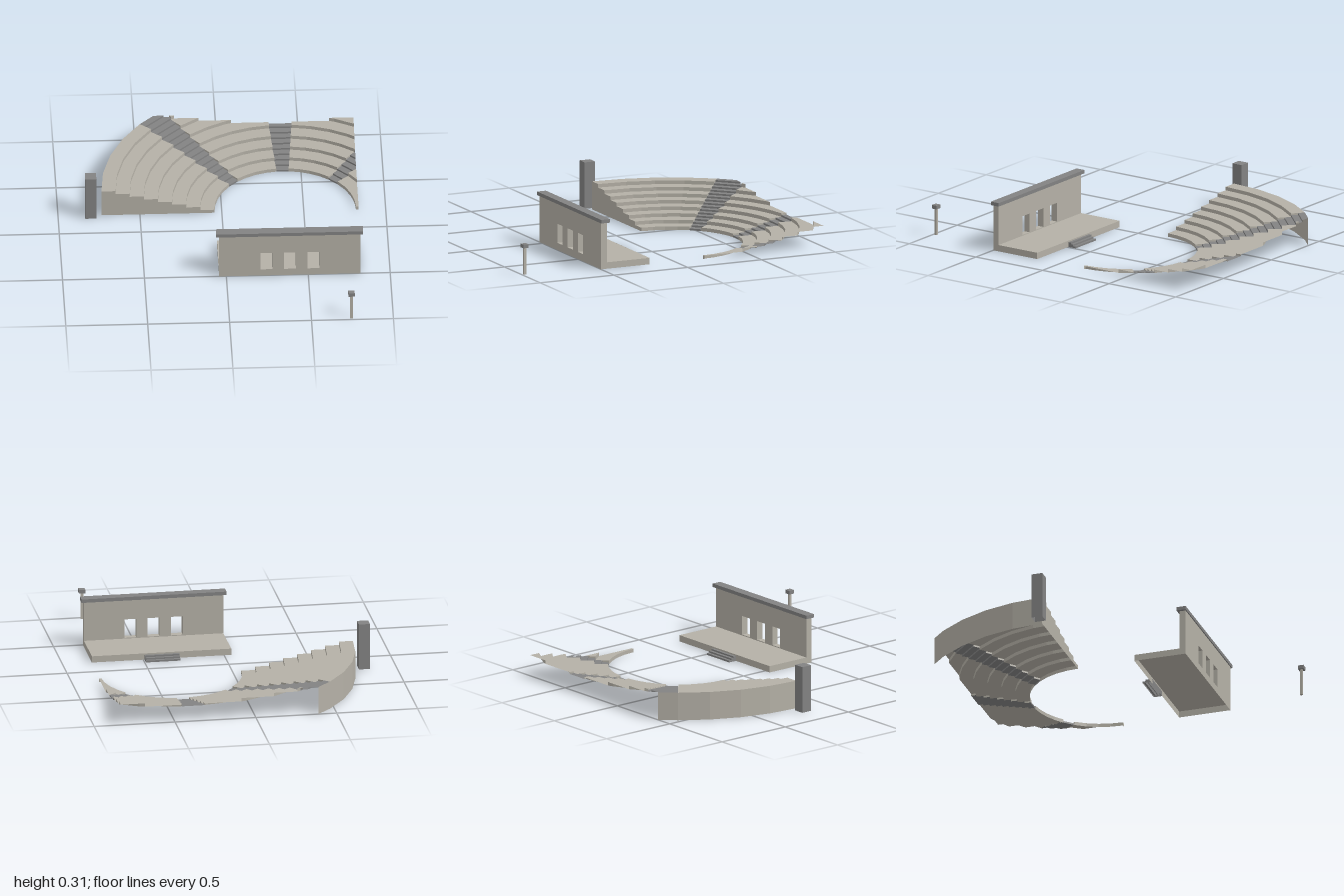
import * as THREE from 'three';

const stone = new THREE.MeshStandardMaterial({ color: 0xb4b0a6, side: THREE.DoubleSide });
stone.name = 'paleStone';
const dark = new THREE.MeshStandardMaterial({ color: 0x828282, side: THREE.DoubleSide });
dark.name = 'darkStone';

// Seating layout: concentric tiers round a centre, trimmed by a rectangular plot
const CX = 0.387, CZ = -0.192, R0 = 0.432, R1 = 1.122, TIERS = 8, TOP = 0.175;
const MAX_X = 0.835, MIN_Z = -1;
const DEPTH = (R1 - R0) / TIERS, RISE = TOP / TIERS;
const rad = THREE.MathUtils.degToRad;

const P = (r, a, y) => new THREE.Vector3(CX - r * Math.cos(a), y, CZ - r * Math.sin(a));

// Cut a convex polygon, keeping the side where dist >= 0
function cut(poly, dist) {
  const out = [];
  poly.forEach((p, i) => {
    const q = poly[(i + 1) % poly.length], dp = dist(p), dq = dist(q);
    if (dp >= 0) out.push(p);
    if (dp * dq < 0) out.push(p.clone().lerp(q, dp / (dp - dq)));
  });
  return out;
}

// Gathers trimmed polygons into one flat-faced mesh
class Faces {
  constructor() { this.points = []; }
  add(...poly) {
    const p = cut(cut(poly, v => MAX_X - v.x), v => v.z - MIN_Z);
    for (let i = 1; i < p.length - 1; i++) this.points.push(p[0], p[i], p[i + 1]);
  }
  tread(r0, r1, a0, a1, y) { this.add(P(r0, a0, y), P(r0, a1, y), P(r1, a1, y), P(r1, a0, y)); }
  riser(r, a0, a1, y0, y1) { this.add(P(r, a0, y0), P(r, a1, y0), P(r, a1, y1), P(r, a0, y1)); }
  radial(ra, rb, a, y0, y1) { this.add(P(ra, a, y0), P(rb, a, y0), P(rb, a, y1), P(ra, a, y1)); }
  mesh(name, material) {
    const g = new THREE.BufferGeometry().setFromPoints(this.points);
    g.computeVertexNormals();
    const m = new THREE.Mesh(g, material);
    m.name = name;
    return m;
  }
}

function seating() {
  const group = new THREE.Group();
  group.name = 'seating';
  const seats = new Faces(), stairs = new Faces(), walls = new Faces();

  // Seat tiers between the aisles
  for (const [from, to] of [[0, 40], [50, 85], [95, 130], [140, 180]]) {
    const n = 4;
    for (let s = 0; s < n; s++) {
      const a0 = rad(from + (to - from) * s / n), a1 = rad(from + (to - from) * (s + 1) / n);
      for (let t = 0; t < TIERS; t++) {
        const r = R0 + t * DEPTH;
        seats.riser(r, a0, a1, t * RISE, (t + 1) * RISE);
        seats.tread(r, r + DEPTH, a0, a1, (t + 1) * RISE);
      }
      walls.riser(R1, a1, a0, 0, TOP);
    }
  }

  // Aisle stairs: two half-height steps to each tier
  for (const mid of [45, 90, 135]) {
    const a0 = rad(mid - 5), a1 = rad(mid + 5);
    for (let s = 0; s < TIERS * 2; s++) {
      const r = R0 + s * DEPTH / 2, y = (s + 1) * RISE / 2;
      stairs.riser(r, a0, a1, y - RISE / 2, y);
      stairs.tread(r, r + DEPTH / 2, a0, a1, y);
      if (s % 2 === 0) {
        seats.radial(r, r + DEPTH / 2, a0, y, y + RISE / 2);
        seats.radial(r + DEPTH / 2, r, a1, y, y + RISE / 2);
      }
    }
    walls.riser(R1, a1, a0, 0, TOP);
  }

  // Stepped end walls
  for (let t = 0; t < TIERS; t++) {
    const r = R0 + t * DEPTH, y = (t + 1) * RISE;
    walls.radial(r + DEPTH, r, 0, 0, y);
    walls.radial(r, r + DEPTH, Math.PI, 0, y);
  }

  group.add(seats.mesh('seatTiers', stone), stairs.mesh('aisleStairs', dark), walls.mesh('retainingWalls', stone));
  return group;
}

// Box given by its limits, optionally without a bottom face
function box(name, material, [x0, x1], [y0, y1], [z0, z1], open = false) {
  const g = new THREE.BoxGeometry(x1 - x0, y1 - y0, z1 - z0);
  if (open) {
    const index = Array.from(g.index.array);
    index.splice(18, 6);
    g.setIndex(index);
    g.clearGroups();
  }
  g.translate((x0 + x1) / 2, (y0 + y1) / 2, (z0 + z1) / 2);
  const m = new THREE.Mesh(g, material);
  m.name = name;
  return m;
}

function rect(Type, x0, x1, y0, y1) {
  return new Type([[x0, y0], [x1, y0], [x1, y1], [x0, y1]].map(p => new THREE.Vector2(...p)));
}

function stage() {
  const group = new THREE.Group();
  group.name = 'stage';
  const x = [-0.044, 0.818], deckTop = 0.04;
  group.add(box('deck', stone, x, [0, deckTop], [0.17, 0.5], true));

  // Scene wall with three openings
  const outline = rect(THREE.Shape, x[0], x[1], deckTop, 0.29);
  for (const c of [0.244, 0.388, 0.531]) {
    outline.holes.push(rect(THREE.Path, c - 0.037, c + 0.037, 0.045, 0.164));
  }
  const wall = new THREE.Mesh(new THREE.ExtrudeGeometry(outline, { depth: 0.04, bevelEnabled: false }), stone);
  wall.position.z = 0.46;
  wall.name = 'sceneWall';
  group.add(wall, box('wallCoping', dark, [-0.062, 0.835], [0.29, 0.312], [0.447, 0.506]));

  // Steps down to the orchestra
  for (let i = 0; i < 3; i++) {
    const z = 0.17 - i * 0.018;
    group.add(box('stageStep', dark, [0.278, 0.492], [0, 0.031 - i * 0.01], [z - 0.018, z], true));
  }
  return group;
}

export function createModel() {
  const model = new THREE.Group();
  model.name = 'openAirTheatre';

  // Lamp post in front of the stage
  const lamp = new THREE.Group();
  lamp.name = 'lampPost';
  lamp.add(
    box('post', stone, [0.736, 0.752], [0, 0.168], [0.974, 0.99]),
    box('lampHead', dark, [0.725, 0.764], [0.168, 0.191], [0.964, 1])
  );

  model.add(seating(), stage(), lamp,
    box('cornerPillar', dark, [-0.835, -0.767], [0, 0.29], [-0.227, -0.157], true));
  return model;
}
